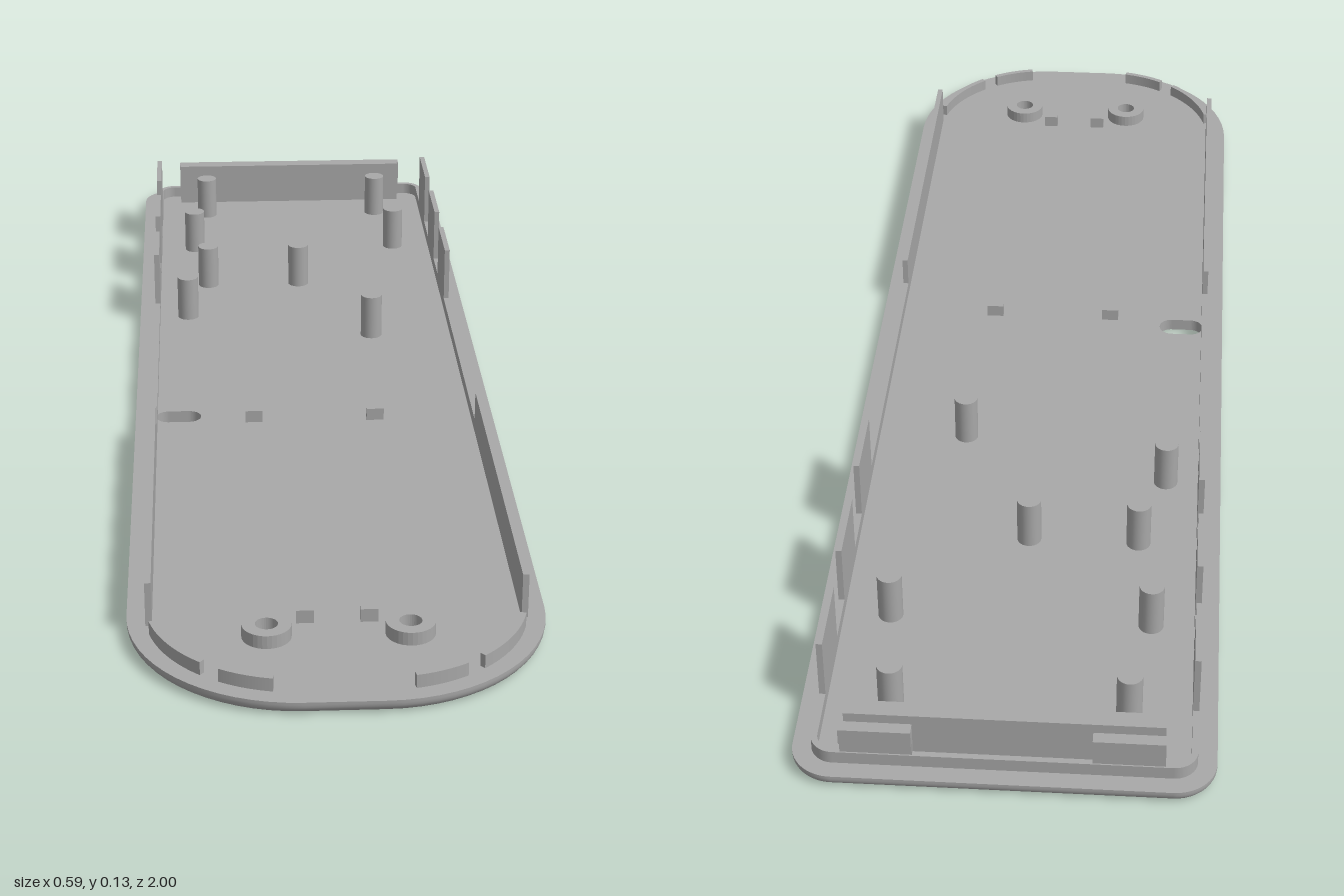
import * as THREE from 'three';

const TOP = 0.02; // upper face of the base plate
const rad = THREE.MathUtils.degToRad;

// Plate outline in (x, z), moved inwards by `inset`
function outline(inset) {
  const corners = [[0.055, 0.76, 0.24], [-0.055, 0.76, 0.24], [-0.235, -0.94, 0.06], [0.235, -0.94, 0.06]];
  const points = [];
  corners.forEach(([cx, cz, r], q) => {
    for (let i = 0; i <= 16; i++) {
      const a = (q + i / 16) * Math.PI / 2;
      points.push(new THREE.Vector2(cx + (r - inset) * Math.cos(a), cz + (r - inset) * Math.sin(a)));
    }
  });
  return points;
}

// Extrudes an (x, z) shape vertically from y0 to y1
function slab(shape, y0, y1) {
  return new THREE.ExtrudeGeometry(shape, { depth: y1 - y0, bevelEnabled: false, curveSegments: 16 })
    .rotateX(Math.PI / 2).translate(0, y1, 0);
}

function circle(x, z, r) {
  return new THREE.Path().absarc(x, z, r, 0, Math.PI * 2, false);
}

// Curved strip around a corner centre
function arcStrip(cx, cz, r0, r1, a0, a1) {
  const s = new THREE.Shape();
  s.absarc(cx, cz, r1, rad(a0), rad(a1), false);
  s.absarc(cx, cz, r0, rad(a1), rad(a0), true);
  s.closePath();
  return s;
}

// Rounded outer edge: quarter-round below, short upright, flat rim on top
function rimGeometry(R) {
  const profile = [];
  for (let i = 0; i <= 6; i++) {
    const t = i / 6 * Math.PI / 2;
    profile.push([R * (1 - Math.sin(t)), R * (1 - Math.cos(t))]);
  }
  profile.push([0, TOP], [0, TOP], [R, TOP]);
  const positions = [], index = [];
  const n = outline(0).length;
  profile.forEach(([inset, y]) => outline(inset).forEach(p => positions.push(p.x, y, p.y)));
  for (let r = 0; r < profile.length - 1; r++) {
    if (r === 7) continue; // sharp break between side and rim
    for (let i = 0; i < n; i++) {
      const j = (i + 1) % n;
      const a = r * n + i, b = r * n + j, c = a + n, d = b + n;
      index.push(a, c, b, b, c, d);
    }
  }
  const g = new THREE.BufferGeometry();
  g.setAttribute('position', new THREE.Float32BufferAttribute(positions, 3));
  g.setIndex(index);
  g.computeVertexNormals();
  return g;
}

export function createModel() {
  const model = new THREE.Group();
  model.name = 'coverPlate';
  const grey = new THREE.MeshStandardMaterial({ color: 0xa8a8a8 });
  grey.name = 'grey plastic';

  const add = (name, geometry) => {
    const mesh = new THREE.Mesh(geometry, grey);
    mesh.name = name;
    model.add(mesh);
  };
  // Box standing on the plate, given by its x and z ranges and top height
  const block = (name, x0, x1, z0, z1, y1, y0 = TOP) => add(name,
    new THREE.BoxGeometry(x1 - x0, y1 - y0, z1 - z0)
      .translate((x0 + x1) / 2, (y0 + y1) / 2, (z0 + z1) / 2));

  // Base plate with screw holes and a slot
  const R = 0.016;
  const base = new THREE.Shape(outline(R));
  base.holes.push(circle(-0.1, 0.825, 0.021), circle(0.1, 0.825, 0.021));
  const slot = new THREE.Path();
  slot.absarc(-0.24, 0.105, 0.021, Math.PI / 2, Math.PI * 1.5, false);
  slot.absarc(-0.208, 0.105, 0.021, -Math.PI / 2, Math.PI / 2, false);
  slot.closePath();
  base.holes.push(slot);
  add('basePlate', slab(base, 0, TOP));
  add('roundedEdge', rimGeometry(R));

  for (const s of [-1, 1]) {
    const side = (name, z0, z1, y1, y0) => {
      const x = s * 0.2635;
      block(name, x - 0.0045, x + 0.0045, z0, z1, y1, y0);
    };
    // Side lip, long wall and three tall tabs
    side('sideLip', -0.94, 0.18, 0.04);
    side('sideWall', 0.18, 0.79, 0.088);
    for (const z of [-0.4, -0.6, -0.8]) side('sideTab', z - 0.06, z + 0.06, 0.134, 0.04);

    // Rear corner lip
    const rear = s > 0 ? [270, 360] : [180, 270];
    add('cornerLip', slab(arcStrip(s * 0.235, -0.94, 0.024, 0.033, ...rear), TOP, 0.04));

    // Curved front lip segments
    for (const [a0, a1] of [[14, 50], [58, 79]]) {
      const span = s > 0 ? [a0, a1] : [180 - a1, 180 - a0];
      add('frontLip', slab(arcStrip(s * 0.055, 0.76, 0.205, 0.214, ...span), TOP, 0.04));
    }

    // Screw boss
    const boss = new THREE.Shape();
    boss.absarc(s * 0.1, 0.825, 0.035, 0, Math.PI * 2, false);
    boss.holes.push(circle(s * 0.1, 0.825, 0.016));
    add('screwBoss', slab(boss, TOP, 0.04));

    // Small locating blocks
    block('frontBlock', s * 0.045 - 0.0125, s * 0.045 + 0.0125, 0.78, 0.792, 0.04);
    block('middleBlock', s * 0.1 - 0.014, s * 0.1 + 0.014, 0.119, 0.132, 0.04);

    // Rear clip with a hooked top
    const c = s * 0.174;
    block('clip', c - 0.05, c + 0.05, -0.971, -0.961, 0.088);
    block('clipHook', c - 0.05, c + 0.05, -0.979, -0.971, 0.088, 0.062);
  }

  // Rear lip and rear cross wall
  block('rearLip', -0.235, 0.235, -0.973, -0.964, 0.04);
  block('rearWall', -0.223, 0.219, -0.955, -0.928, 0.097);

  // Support pegs
  const pegs = [[-0.17, -0.855], [0.167, -0.855], [-0.195, -0.665], [0.19, -0.665],
    [-0.17, -0.478], [-0.002, -0.478], [-0.208, -0.326], [0.118, -0.226]];
  for (const [x, z] of pegs) {
    add('peg', new THREE.CylinderGeometry(0.0185, 0.0185, 0.097 - TOP, 24)
      .translate(x, (0.097 + TOP) / 2, z));
  }
  return model;
}
